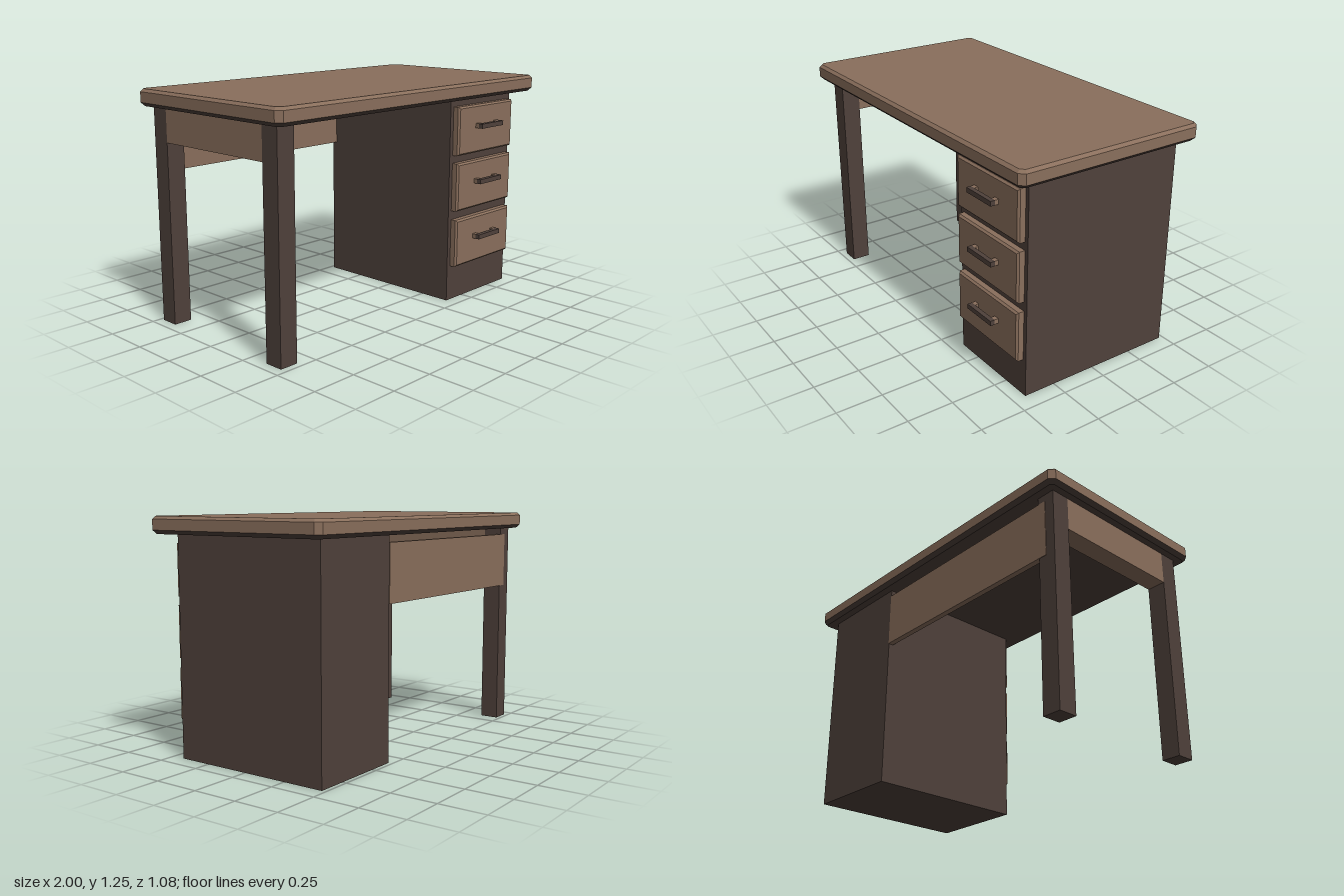
import * as THREE from 'three';

// Rectangle outline with cut corners, counter-clockwise in XY at height z
function outline(w, h, cut, z) {
  const a = w / 2, b = h / 2, c = cut;
  const pts = c > 0
    ? [[a, -b + c], [a, b - c], [a - c, b], [-a + c, b], [-a, b - c], [-a, -b + c], [-a + c, -b], [a - c, -b]]
    : [[a, -b], [a, b], [-a, b], [-a, -b]];
  return pts.map(([x, y]) => [x, y, z]);
}

// Flat-faced solid through a stack of outlines along +z
function loft(rings, capStart, capEnd) {
  const pos = [];
  const tri = (...p) => p.forEach((v) => pos.push(...v));
  const n = rings[0].length;
  for (let r = 0; r < rings.length - 1; r++) {
    const lo = rings[r], hi = rings[r + 1];
    for (let i = 0; i < n; i++) {
      const j = (i + 1) % n;
      tri(lo[i], lo[j], hi[j]);
      tri(lo[i], hi[j], hi[i]);
    }
  }
  const first = rings[0], last = rings[rings.length - 1];
  for (let i = 1; i < n - 1; i++) {
    if (capStart) tri(first[0], first[i + 1], first[i]);
    if (capEnd) tri(last[0], last[i], last[i + 1]);
  }
  const geo = new THREE.BufferGeometry();
  geo.setAttribute('position', new THREE.Float32BufferAttribute(pos, 3));
  geo.computeVertexNormals();
  return geo;
}

export function createModel() {
  const desk = new THREE.Group();
  desk.name = 'desk';

  const lightWood = new THREE.MeshStandardMaterial({ color: 0x8a6f5c });
  lightWood.name = 'lightWood';
  const darkWood = new THREE.MeshStandardMaterial({ color: 0x4f413b });
  darkWood.name = 'darkWood';

  function add(name, geo, mat, parent = desk) {
    const mesh = new THREE.Mesh(geo, mat);
    mesh.name = name;
    parent.add(mesh);
    return mesh;
  }

  // Box given by its limits on each axis
  function box(name, [x0, x1], [y0, y1], [z0, z1], mat, parent) {
    const mesh = add(name, new THREE.BoxGeometry(x1 - x0, y1 - y0, z1 - z0), mat, parent);
    mesh.position.set((x0 + x1) / 2, (y0 + y1) / 2, (z0 + z1) / 2);
    return mesh;
  }

  // Tabletop with bevelled rim, and its dark underside
  const W = 2, D = 1.08, CUT = 0.028;
  const top = loft([
    outline(W, D, CUT, 1.18),
    outline(W, D, CUT, 1.235),
    outline(W - 0.03, D - 0.03, CUT - 0.008, 1.25),
  ], false, true);
  const under = loft([
    outline(W - 0.04, D - 0.04, CUT - 0.01, 1.16),
    outline(W, D, CUT, 1.18),
  ], true, false);
  add('tabletop', top.rotateX(-Math.PI / 2), lightWood);
  add('tabletopUnderside', under.rotateX(-Math.PI / 2), darkWood);

  // Legs on the open side, joined by a side rail
  const legX = [-0.945, -0.842];
  box('frontLeg', legX, [0, 1.16], [0.362, 0.465], darkWood);
  box('backLeg', legX, [0, 1.16], [-0.478, -0.375], darkWood);
  box('sideRail', legX, [0.98, 1.16], [-0.375, 0.362], lightWood);

  // Back panel
  box('backPanel', [-0.89, 0.357], [0.815, 1.122], [-0.481, -0.45], lightWood);

  // Drawer cabinet
  box('cabinet', [0.357, 0.91], [0, 1.16], [-0.478, 0.428], darkWood);

  // Bevelled drawer fronts with handles
  [0.337, 0.66, 0.976].forEach((y, i) => {
    const drawer = new THREE.Group();
    drawer.name = `drawer${i + 1}`;
    drawer.position.set(0.635, y, 0.428);
    desk.add(drawer);

    add('drawerFront', loft([
      outline(0.505, 0.272, 0, 0),
      outline(0.505, 0.272, 0, 0.03),
      outline(0.485, 0.252, 0, 0.04),
    ], false, true), lightWood, drawer);

    const handleY = [0.006, 0.032];
    box('handleBar', [-0.1, 0.1], handleY, [0.061, 0.086], darkWood, drawer);
    for (const s of [-1, 1]) {
      const post = box('handlePost', [-0.015, 0.015], handleY, [0.038, 0.061], lightWood, drawer);
      post.position.x = s * 0.085;
    }
  });

  return desk;
}
